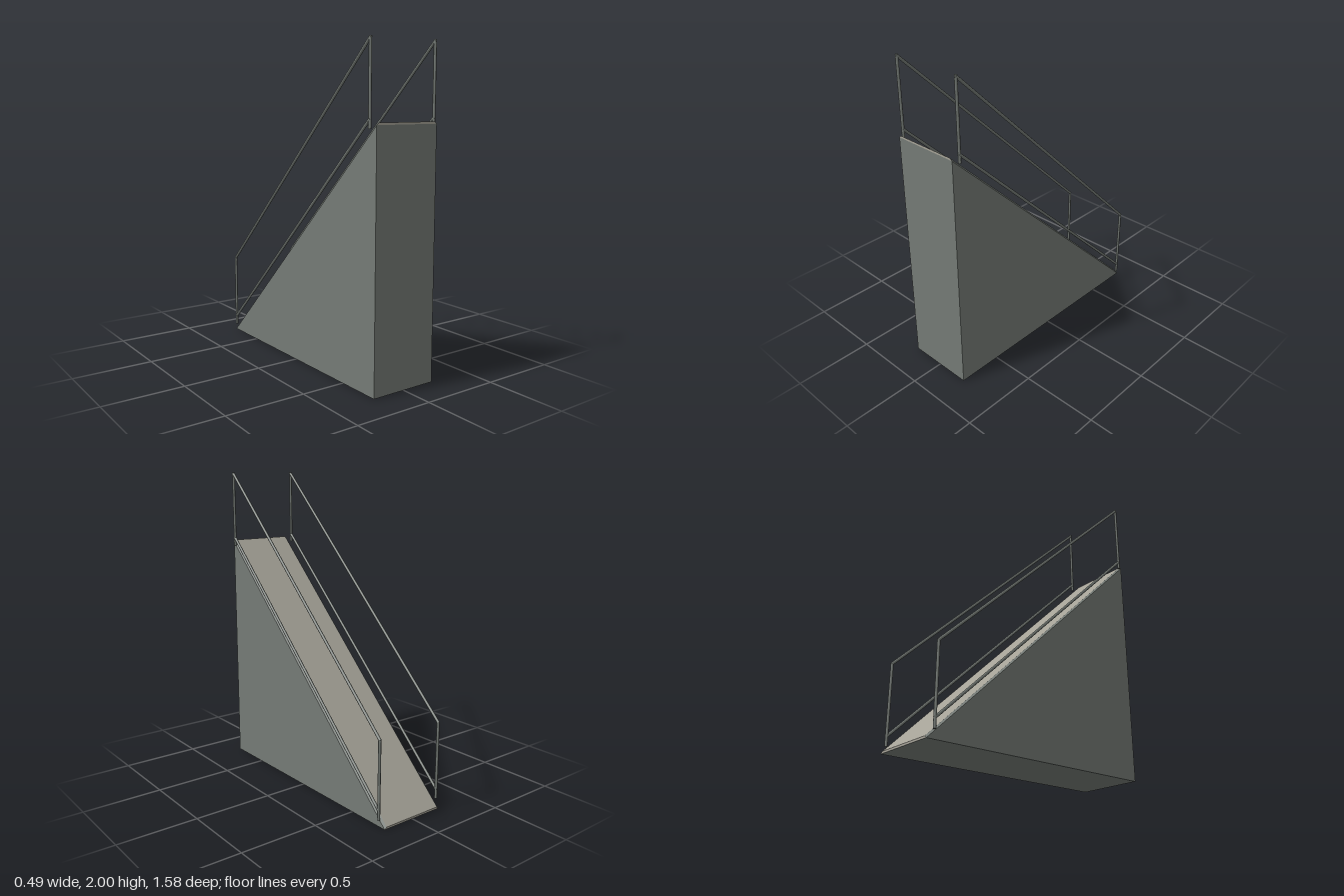
import * as THREE from 'three';

export function createModel() {
  const model = new THREE.Group();
  const grey = new THREE.MeshStandardMaterial({ color: 0x757b76 });
  grey.name = 'painted grey metal';
  const tan = new THREE.MeshStandardMaterial({ color: 0xa5a297 });
  tan.name = 'tan walkway';

  const halfLength = 0.79, height = 1.525, halfWidth = 0.22, deck = 0.013;

  // Solid wedge, tall at the front; side profile in (z, y) extruded across x
  const profile = new THREE.Shape([
    new THREE.Vector2(-halfLength, 0),
    new THREE.Vector2(halfLength, 0),
    new THREE.Vector2(-halfLength, height),
  ]);
  const wedgeGeo = new THREE.ExtrudeGeometry(profile, { depth: halfWidth * 2, bevelEnabled: false });
  wedgeGeo.translate(0, 0, -halfWidth).rotateY(Math.PI / 2);
  const wedge = new THREE.Mesh(wedgeGeo, grey);
  wedge.name = 'rampBody';
  model.add(wedge);

  // Thin walkway sheared onto the slope, with grey bevelled long edges
  const deckGeo = new THREE.BoxGeometry(halfWidth * 2, deck, halfLength * 2);
  const p = deckGeo.attributes.position;
  for (let i = 0; i < p.count; i++) {
    const top = p.getY(i) > 0;
    const slopeY = height * (p.getZ(i) + halfLength) / (2 * halfLength);
    p.setX(i, Math.sign(p.getX(i)) * (top ? halfWidth - 0.015 : halfWidth));
    p.setY(i, slopeY + (top ? deck : 0));
  }
  deckGeo.computeVertexNormals();
  const walkway = new THREE.Mesh(deckGeo, [grey, grey, tan, grey, tan, tan]);
  walkway.name = 'walkway';
  model.add(walkway);

  // Slim bar between two points in the (y, z) plane
  function bar(name, y1, z1, y2, z2) {
    const a = new THREE.Vector3(0, y1, z1), b = new THREE.Vector3(0, y2, z2);
    const dir = b.clone().sub(a);
    const geo = new THREE.CylinderGeometry(0.009, 0.009, dir.length(), 8);
    const mesh = new THREE.Mesh(geo, grey);
    mesh.name = name;
    mesh.position.copy(a).add(b).multiplyScalar(0.5);
    mesh.quaternion.setFromUnitVectors(new THREE.Vector3(0, 1, 0), dir.normalize());
    return mesh;
  }

  // Matching handrails on both sides
  for (const side of [-1, 1]) {
    const rail = new THREE.Group();
    rail.name = side > 0 ? 'leftHandrail' : 'rightHandrail';
    rail.add(
      bar('upperPost', 1.505, 0.75, 1.995, 0.75),
      bar('lowerPost', 0.05, -0.753, 0.54, -0.753),
      bar('topRail', 1.99, 0.753, 0.537, -0.756),
      bar('lowRail', 1.56, 0.753, 0.107, -0.756),
    );
    rail.position.x = side * 0.235;
    model.add(rail);
  }
  return model;
}
